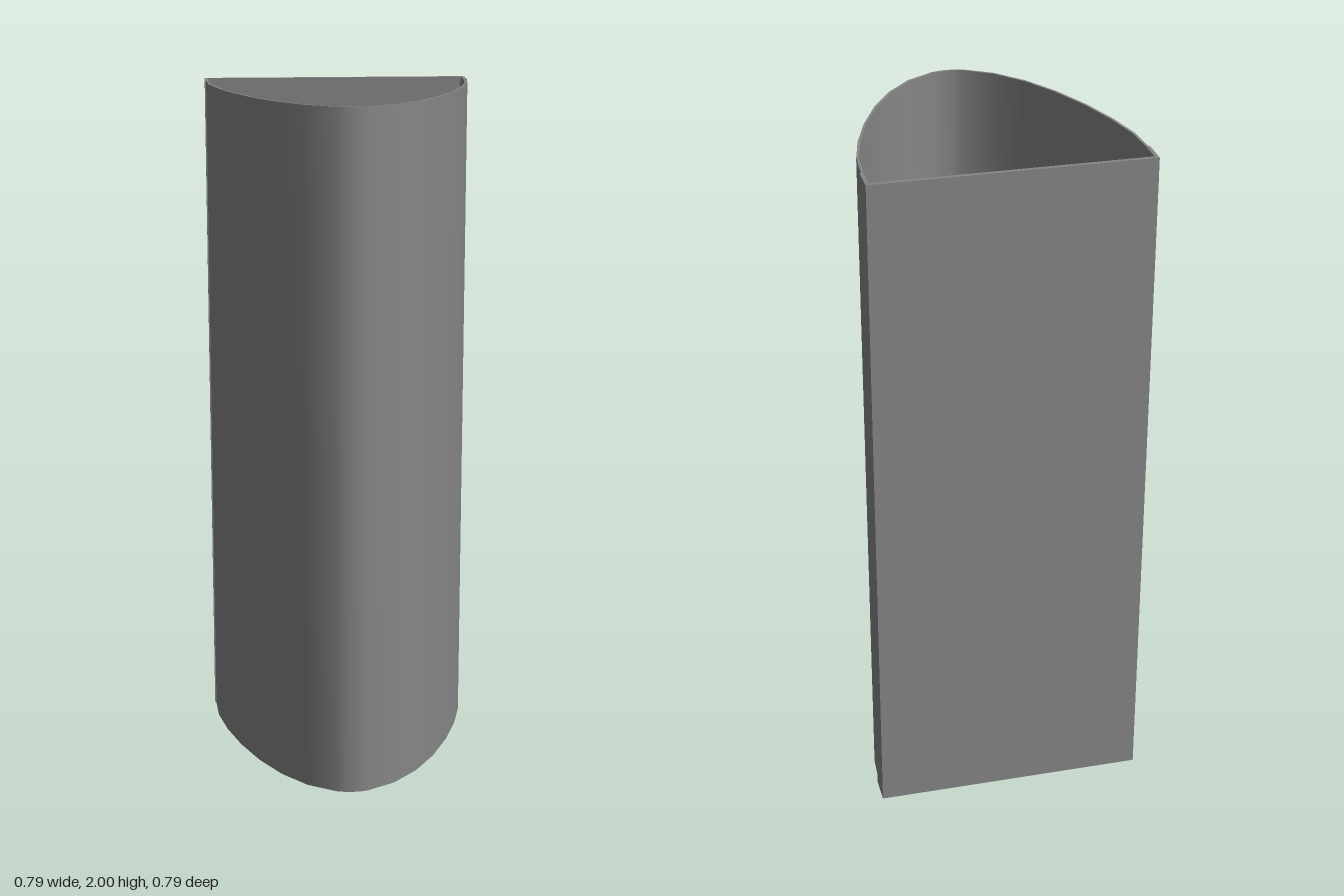
import * as THREE from 'three';
import { toCreasedNormals } from 'three/addons/utils/BufferGeometryUtils.js';

const HEIGHT = 2;
const material = new THREE.MeshStandardMaterial({ color: 0x868686 });

// Half outlines as [x, z], from the side joint to the front tip
const outer = [[0.391, -0.31], [0.384, -0.209], [0.358, -0.094], [0.318, 0.028], [0.264, 0.151],
  [0.201, 0.256], [0.128, 0.338], [0.047, 0.387], [0.02, 0.394], [0, 0.395]];
const inner = [[0.384, -0.31], [0.376, -0.209], [0.35, -0.095], [0.311, 0.027], [0.257, 0.148],
  [0.195, 0.251], [0.123, 0.332], [0.045, 0.381], [0.02, 0.387], [0, 0.388]];

// Full outline, mirrored across x; z becomes -y for the upright extrusion
function outline(half) {
  const mirrored = half.slice(0, -1).reverse().map(([x, z]) => [-x, z]);
  return [...half, ...mirrored].map(([x, z]) => new THREE.Vector2(x, -z));
}

function addBox(group, name, w, d, x, z) {
  const mesh = new THREE.Mesh(new THREE.BoxGeometry(w, HEIGHT, d), material);
  mesh.name = name;
  mesh.position.set(x, HEIGHT / 2, z);
  group.add(mesh);
}

export function createModel() {
  const group = new THREE.Group();
  group.name = 'openColumn';

  // Thin curved wall, open at both ends
  const shape = new THREE.Shape([...outline(outer), ...outline(inner).reverse()]);
  const geometry = new THREE.ExtrudeGeometry(shape, { depth: HEIGHT, bevelEnabled: false });
  geometry.rotateX(-Math.PI / 2);
  const shell = new THREE.Mesh(toCreasedNormals(geometry, Math.PI / 6), material);
  shell.name = 'curvedWall';
  group.add(shell);

  // Flat back and the two short side strips, which stand slightly proud of the wall
  addBox(group, 'backPanel', 0.79, 0.012, 0, -0.389);
  for (const side of [1, -1]) {
    addBox(group, side > 0 ? 'leftStrip' : 'rightStrip', 0.011, 0.073, side * 0.3895, -0.3465);
  }
  return group;
}
